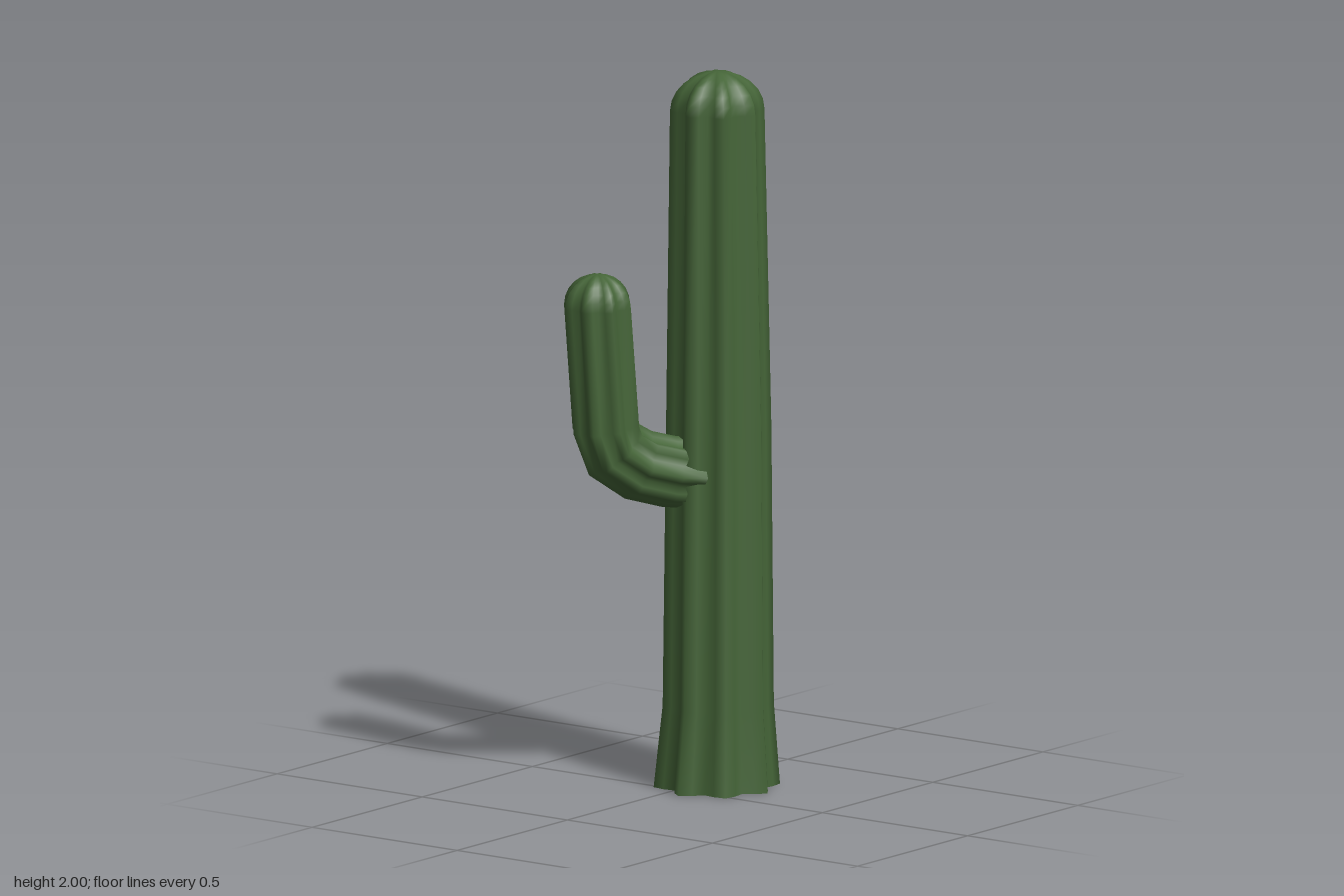
import * as THREE from 'three';

const SIDES = 32; // four points for each of the eight ribs
const RIB = [1, 0.89, 0.77, 0.89];

// Ribbed tube through rings [x, y, z, radius], with a domed tip and a flat end cap.
// "heading" turns the ribs; "level" keeps every ring horizontal.
function ribbedStem(rings, domeHeight, heading, level) {
  const up = new THREE.Vector3(0, 1, 0);
  const side = new THREE.Vector3(Math.cos(heading), 0, Math.sin(heading));
  const centres = rings.map(r => new THREE.Vector3(r[0], r[1], r[2]));
  const radii = rings.map(r => r[3]);
  const last = rings.length - 1;

  // dome rings
  const shoulder = centres[last], shoulderRadius = radii[last];
  for (let k = 1; k <= 5; k++) {
    const a = (k / 6) * Math.PI / 2;
    centres.push(shoulder.clone().addScaledVector(up, domeHeight * Math.sin(a)));
    radii.push(shoulderRadius * Math.cos(a));
  }

  const pos = [], index = [];
  const addRing = i => {
    const before = centres[Math.max(i - 1, 0)];
    const after = centres[Math.min(i + 1, centres.length - 1)];
    const along = level || i >= last ? up : after.clone().sub(before).normalize();
    const out = side.clone().cross(along).normalize();
    for (let j = 0; j < SIDES; j++) {
      const a = (j / SIDES) * Math.PI * 2, r = radii[i] * RIB[j % 4];
      const p = centres[i].clone()
        .addScaledVector(side, r * Math.cos(a))
        .addScaledVector(out, r * Math.sin(a));
      pos.push(p.x, p.y, p.z);
    }
  };

  // walls
  for (let i = 0; i < centres.length; i++) addRing(i);
  for (let i = 0; i < centres.length - 1; i++) {
    for (let j = 0; j < SIDES; j++) {
      const n = (j + 1) % SIDES;
      const a = i * SIDES + j, b = i * SIDES + n;
      index.push(a, a + SIDES, b, b, a + SIDES, b + SIDES);
    }
  }

  // tip
  const top = (centres.length - 1) * SIDES, tip = pos.length / 3;
  pos.push(shoulder.x, shoulder.y + domeHeight, shoulder.z);
  for (let j = 0; j < SIDES; j++) index.push(top + j, tip, top + (j + 1) % SIDES);

  // end cap with its own corners, so its edge stays sharp
  const cap = pos.length / 3;
  addRing(0);
  pos.push(...centres[0].toArray());
  for (let j = 0; j < SIDES; j++) index.push(cap + j, cap + (j + 1) % SIDES, cap + SIDES);

  const geometry = new THREE.BufferGeometry();
  geometry.setAttribute('position', new THREE.Float32BufferAttribute(pos, 3));
  geometry.setIndex(index);
  geometry.computeVertexNormals();
  return geometry;
}

export function createModel() {
  const group = new THREE.Group();
  group.name = 'cactus';
  const green = new THREE.MeshStandardMaterial({ color: 0x456538 });
  green.name = 'cactus green';

  const add = (name, geometry) => {
    const mesh = new THREE.Mesh(geometry, green);
    mesh.name = name;
    group.add(mesh);
  };

  // trunk, flared at the foot and leaning slightly
  add('trunk', ribbedStem([
    [0.052, 0, -0.11, 0.175],
    [0.057, 0.23, -0.11, 0.154],
    [0.051, 1.0, -0.12, 0.146],
    [0.036, 1.89, -0.133, 0.131],
  ], 0.11, 0, true));

  // arm, leaving the trunk and bending upwards
  add('arm', ribbedStem([
    [0.015, 0.885, -0.05, 0.1],
    [-0.02, 0.892, 0.01, 0.1],
    [-0.07, 0.917, 0.085, 0.1],
    [-0.108, 0.965, 0.145, 0.1],
    [-0.12, 1.03, 0.167, 0.098],
    [-0.132, 1.37, 0.189, 0.098],
  ], 0.093, 0.49, false));

  return group;
}
